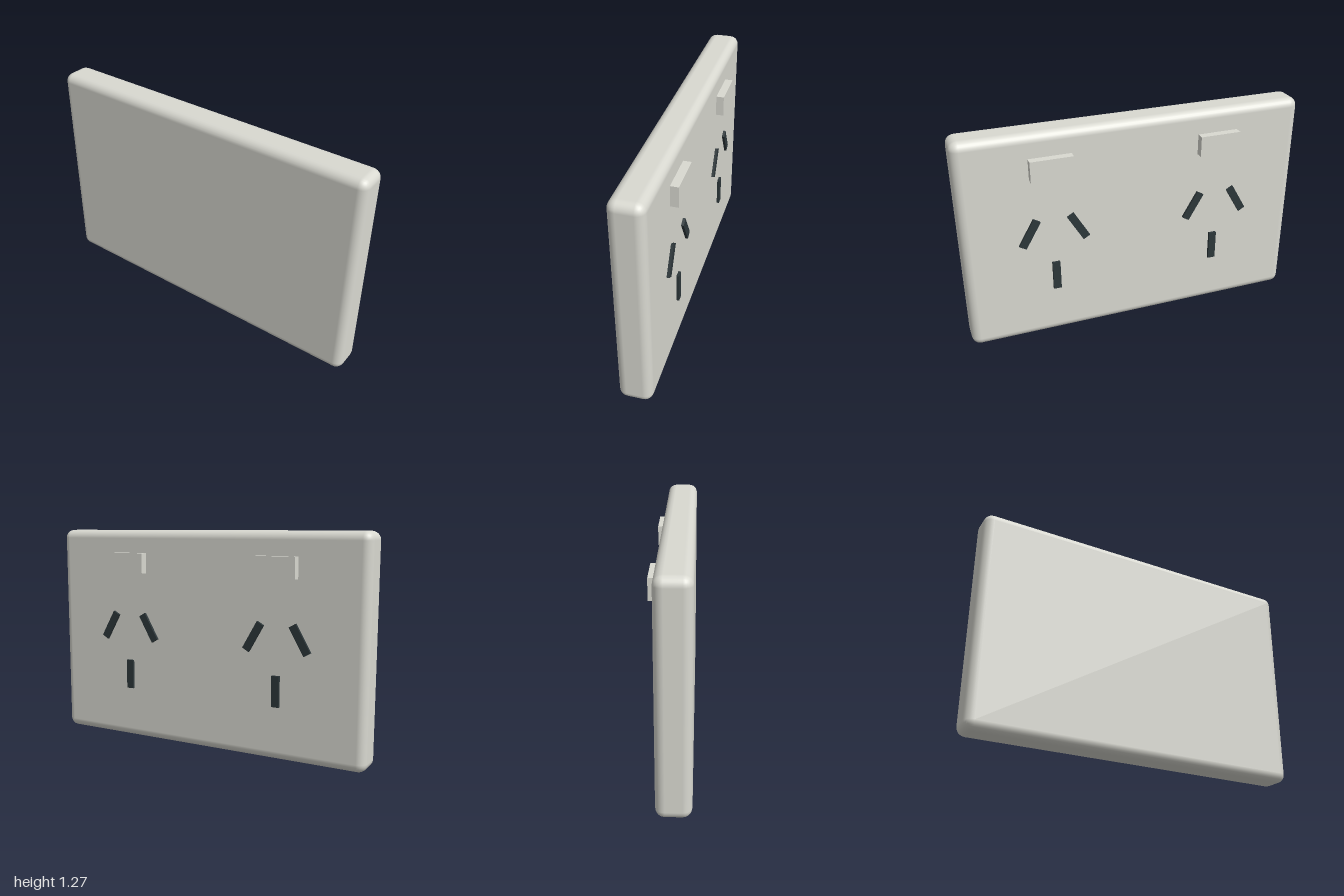
import * as THREE from 'three';
import { RoundedBoxGeometry } from 'three/addons/geometries/RoundedBoxGeometry.js';

const WIDTH = 2.011, HEIGHT = 1.275, DEPTH = 0.188, RADIUS = 0.05;
const BACK = -DEPTH / 2;

export function createModel() {
  const plastic = new THREE.MeshStandardMaterial({ color: 0xd9d9d1 });
  plastic.name = 'warm white plastic';
  const dark = new THREE.MeshStandardMaterial({ color: 0x2d373a });
  dark.name = 'dark slot';

  const model = new THREE.Group();
  model.name = 'doubleWallSocket';
  // The whole plate stands slightly turned about the vertical axis
  model.rotation.y = -THREE.MathUtils.degToRad(9.2);

  // Rounded face plate
  const plate = new THREE.Mesh(new RoundedBoxGeometry(WIDTH, HEIGHT, DEPTH, 3, RADIUS), plastic);
  plate.name = 'facePlate';
  plate.position.y = HEIGHT / 2;
  model.add(plate);

  // Block standing proud of the back face, sunk a little into the plate
  function addBlock(parent, name, w, h, proud, x, y, tilt, material) {
    const sunk = 0.01;
    const mesh = new THREE.Mesh(new THREE.BoxGeometry(w, h, proud + sunk), material);
    mesh.name = name;
    mesh.position.set(x, y, BACK + (sunk - proud) / 2);
    mesh.rotation.z = tilt;
    parent.add(mesh);
  }

  // Two outlets, each with a switch and three pin slots
  for (const side of [-1, 1]) {
    const outlet = new THREE.Group();
    outlet.name = side < 0 ? 'rightOutlet' : 'leftOutlet';
    outlet.position.x = side * 0.49;
    addBlock(outlet, 'switch', 0.24, 0.12, 0.045, 0, 1.079, 0, plastic);
    for (const s of [-1, 1]) {
      addBlock(outlet, 'slantedSlot', 0.045, 0.178, 0.015, s * 0.14, 0.693, s * Math.PI / 6, dark);
    }
    addBlock(outlet, 'earthSlot', 0.045, 0.176, 0.015, 0, 0.396, 0, dark);
    model.add(outlet);
  }

  const root = new THREE.Group();
  root.name = 'wallSocket';
  root.add(model);
  return root;
}
